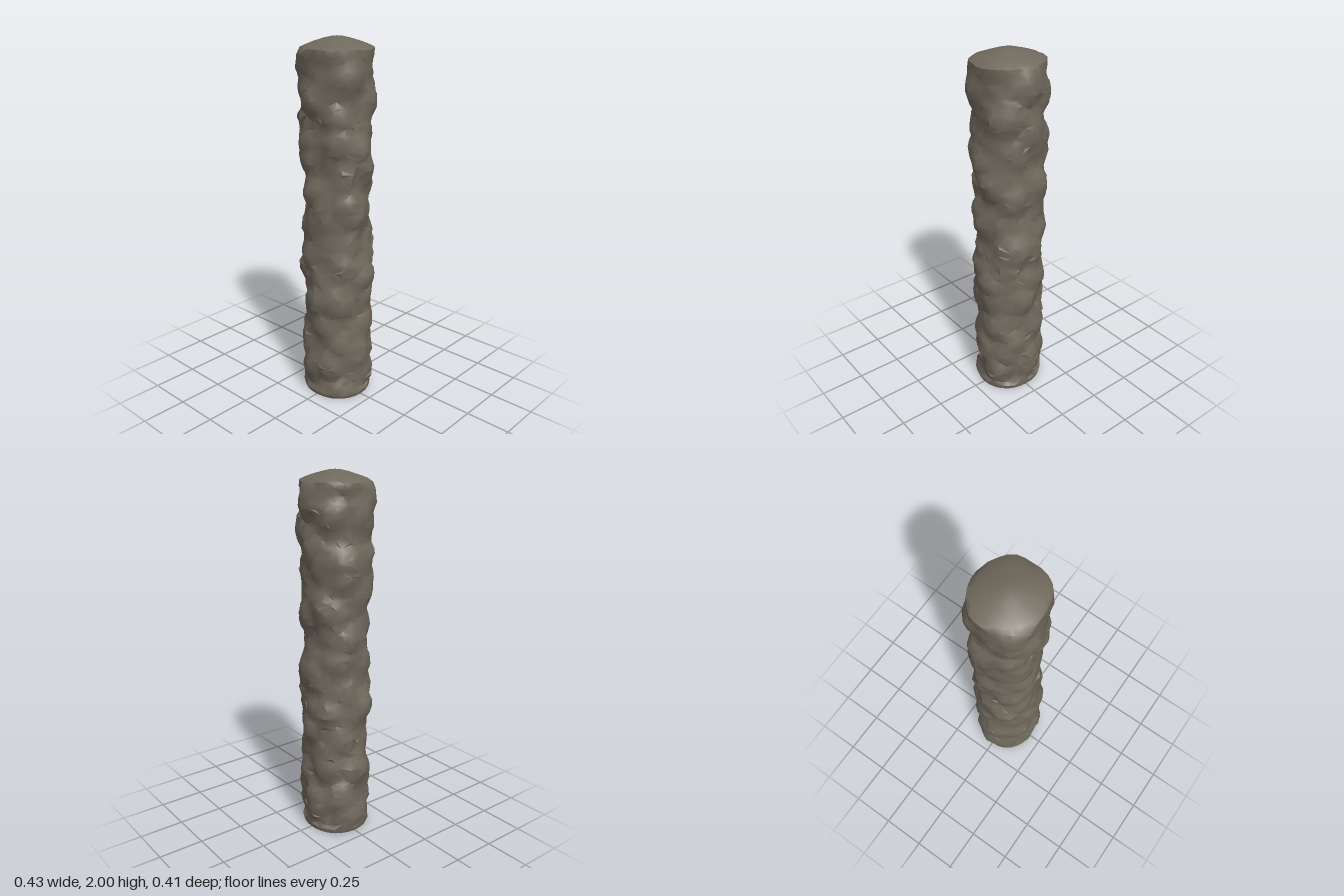
import * as THREE from 'three';
import { toCreasedNormals } from 'three/addons/utils/BufferGeometryUtils.js';

const SEGMENTS = 28;
const ROWS = 60;
const TAU = Math.PI * 2;

// Small seeded random generator, -0.5 to 0.5
function seeded(seed) {
  return () => {
    seed = (seed * 1664525 + 1013904223) % 4294967296;
    return seed / 4294967296 - 0.5;
  };
}

// Reach of the rock on each of its four sides: [height, distance from the axis]
const LEFT = [[0, 0.195], [0.1, 0.198], [0.3, 0.19], [0.38, 0.2], [0.5, 0.185], [0.6, 0.197], [0.72, 0.213],
  [0.85, 0.188], [0.95, 0.17], [1.1, 0.197], [1.25, 0.176], [1.33, 0.203], [1.5, 0.203], [1.6, 0.193],
  [1.74, 0.188], [1.82, 0.203], [2, 0.195]];
const RIGHT = [[0, 0.195], [0.2, 0.195], [0.3, 0.19], [0.4, 0.203], [0.5, 0.195], [0.6, 0.188], [0.72, 0.212],
  [0.85, 0.182], [0.95, 0.177], [1.1, 0.2], [1.25, 0.188], [1.35, 0.205], [1.5, 0.207], [1.6, 0.202],
  [1.7, 0.184], [1.82, 0.204], [2, 0.193]];
const FRONT = [[0, 0.185], [0.2, 0.19], [0.4, 0.184], [0.55, 0.197], [0.7, 0.175], [0.9, 0.185], [1.05, 0.17],
  [1.2, 0.182], [1.3, 0.165], [1.45, 0.184], [1.55, 0.17], [1.7, 0.193], [2, 0.186]];
const BACK = [[0, 0.182], [0.2, 0.184], [0.45, 0.182], [0.65, 0.19], [0.8, 0.182], [1, 0.19], [1.15, 0.168],
  [1.35, 0.189], [1.5, 0.175], [1.7, 0.194], [2, 0.184]];

function reach(profile, y) {
  const i = Math.max(1, profile.findIndex(([h]) => h >= y));
  const [y0, r0] = profile[i - 1], [y1, r1] = profile[i];
  return THREE.MathUtils.mapLinear(y, y0, y1, r0, r1);
}

// Blend the four sides round the shaft, a little fuller at the diagonals
function coreRadius(angle, y) {
  const s = Math.sin(angle), c = Math.cos(angle);
  const side = reach(s > 0 ? LEFT : RIGHT, y), face = reach(c > 0 ? FRONT : BACK, y);
  return s * s * side + c * c * face + 0.005 * Math.sin(2 * angle) ** 2;
}

// Stones scattered round the shaft: each has a centre, height and tilt
function scatterStones(random) {
  const stones = [];
  for (let row = 0; row < 13; row++) {
    for (let i = 0; i < 6; i++) {
      stones.push({
        angle: ((i + (row % 2) * 0.5 + random()) / 6) * TAU,
        y: (row + 0.5 + random()) * (2 / 13),
        lift: 0.008 + random() * 0.012,
        tiltA: random() * 0.2,
        tiltY: random() * 0.2,
      });
    }
  }
  return stones;
}

// Highest stone wins, which leaves a crease wherever two stones meet
function reliefAt(angle, y, stones) {
  let relief = -0.022;
  for (const s of stones) {
    const da = Math.atan2(Math.sin(angle - s.angle), Math.cos(angle - s.angle)) * 0.19;
    const dy = y - s.y;
    const dome = s.lift - 3.2 * (da * da + dy * dy) + s.tiltA * da + s.tiltY * dy;
    relief = Math.max(relief, dome);
  }
  return Math.min(relief, 0.012);
}

function pillarGeometry() {
  const random = seeded(41);
  const stones = scatterStones(random);

  // Rows from the middle of the base, up the side, to the peak: [radius scale, height, roughness]
  const rows = [[0, 0, 0], [0.55, 0, 0], [0.95, 0.002, 0], [1.01, 0.025, 0.3]];
  for (let i = 0; i <= ROWS; i++) rows.push([1, 0.05 + (i / ROWS) * 1.83, 1]);
  rows.push([1.01, 1.912, 0.6], [0.97, 1.942, 0.3], [0.85, 1.957, 0.15],
    [0.62, 1.973, 0.08], [0.35, 1.989, 0], [0.15, 1.998, 0], [0, 2, 0]);

  const positions = [], indices = [];
  for (const [scale, height, rough] of rows) {
    for (let j = 0; j < SEGMENTS; j++) {
      const angle = ((j + rough * random() * 0.75) / SEGMENTS) * TAU;
      const y = height + rough * random() * 0.027;
      const relief = reliefAt(angle, y, stones) + 0.002 + random() * 0.009;
      const radius = scale * (coreRadius(angle, y) + rough * relief);
      positions.push(radius * Math.sin(angle), y, radius * Math.cos(angle));
    }
  }
  for (let i = 0; i < rows.length - 1; i++) {
    for (let j = 0; j < SEGMENTS; j++) {
      const k = (j + 1) % SEGMENTS;
      const a = i * SEGMENTS + j, b = i * SEGMENTS + k;
      const c = b + SEGMENTS, d = a + SEGMENTS;
      if (i === 0) indices.push(a, c, d);
      else if (i === rows.length - 2) indices.push(a, b, c);
      else if ((i + j) % 2) indices.push(a, b, c, a, c, d);
      else indices.push(a, b, d, b, c, d);
    }
  }

  const geometry = new THREE.BufferGeometry();
  geometry.setAttribute('position', new THREE.Float32BufferAttribute(positions, 3));
  geometry.setIndex(indices);
  return toCreasedNormals(geometry, 0.75);
}

export function createModel() {
  const stone = new THREE.MeshStandardMaterial({ color: 0x70695d });
  stone.name = 'brownGreyStone';

  const pillar = new THREE.Mesh(pillarGeometry(), stone);
  pillar.name = 'rockPillar';

  const group = new THREE.Group();
  group.name = 'stoneColumn';
  group.add(pillar);
  return group;
}
